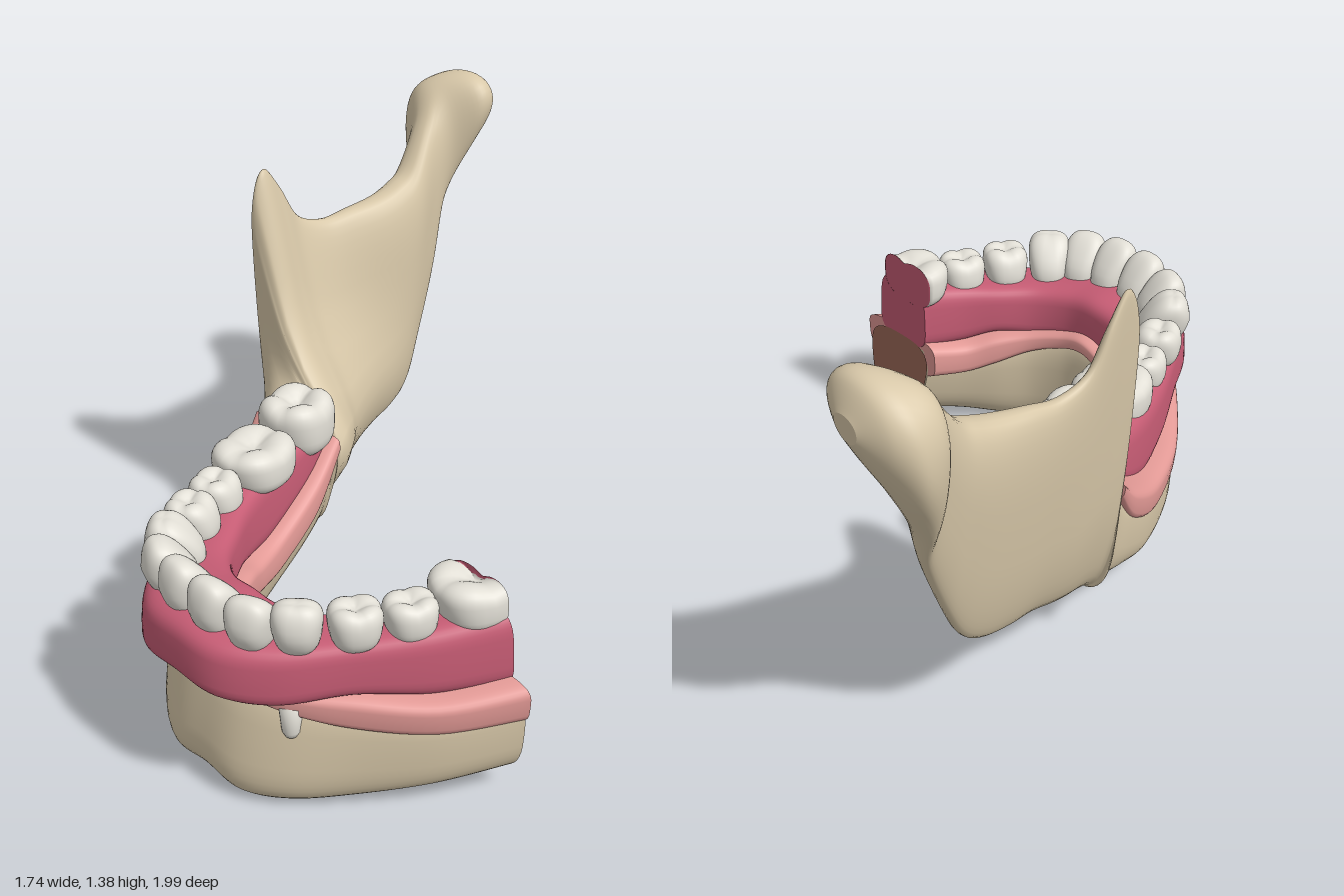
import * as THREE from 'three';
import { mergeVertices } from 'three/addons/utils/BufferGeometryUtils.js';

const MID = 0.19;   // x of the jaw's midline
const CUT = 0.33;   // z of the sectioned end
const SIDES = 40;   // points around each section
const lerp = THREE.MathUtils.lerp;
const spow = (v, p) => Math.sign(v) * Math.abs(v) ** p;

function mat(name, color) {
  const m = new THREE.MeshStandardMaterial({ color });
  m.name = name;
  return m;
}

// Dental arch, midline to back of the right side:
// outer x,z, inner x,z, bone low/high, lining low/high, gum low/high, frontness, gum reach
const ARCH = [
  [0.19, 0.93, 0.19, 0.67, 0.02, 0.41, 0.365, 0.43, 0.38, 0.56, 1, 1.27],
  [0.05, 0.92, 0.10, 0.66, 0.0, 0.40, 0.345, 0.41, 0.365, 0.55, 1, 1.24],
  [-0.08, 0.85, 0.01, 0.61, 0.005, 0.38, 0.31, 0.39, 0.355, 0.54, 0.7, 1.12],
  [-0.21, 0.72, -0.06, 0.52, 0.02, 0.36, 0.265, 0.38, 0.37, 0.54, 0.3, 0.96],
  [-0.36, 0.54, -0.11, 0.44, 0.045, 0.34, 0.24, 0.36, 0.345, 0.55, 0.05, 0.86],
  [-0.48, 0.33, -0.155, 0.33, 0.07, 0.36, 0.245, 0.38, 0.34, 0.57, 0, 0.83],
  [-0.545, 0.17, -0.21, 0.15, 0.125, 0.45, 0.33, 0.46, 0.42, 0.59, 0, 0.78],
  [-0.575, 0.08, -0.27, 0.01, 0.155, 0.57, 0.47, 0.54, 0.50, 0.61, 0, 0.67],
];
const mirrorRow = (r) => [2 * MID - r[0], r[1], 2 * MID - r[2], ...r.slice(3)];
const FULL_ARCH = [...ARCH.slice(1, 6).reverse().map(mirrorRow), ...ARCH];

// Ramus slices: z, low outer x, low inner x, high outer x, high inner x, low y, high y,
// inner swelling, roundness
const RAMUS = [
  [-0.005, -0.61, -0.33, -0.665, -0.52, 0.175, 0.70, 0.12, 0.65],
  [-0.012, -0.615, -0.35, -0.70, -0.65, 0.18, 1.05, 0.15, 0.7],
  [-0.027, -0.62, -0.36, -0.708, -0.665, 0.185, 1.2, 0.16, 0.75],
  [-0.07, -0.63, -0.38, -0.715, -0.67, 0.20, 1.27, 0.16, 0.75],
  [-0.13, -0.64, -0.42, -0.725, -0.67, 0.22, 1.2, 0.14, 0.75],
  [-0.2, -0.645, -0.46, -0.73, -0.66, 0.245, 1.08, 0.1, 0.75],
  [-0.3, -0.65, -0.51, -0.738, -0.64, 0.28, 1.04, 0.07, 0.75],
  [-0.4, -0.66, -0.55, -0.745, -0.61, 0.30, 1.05, 0.05, 0.75],
  [-0.5, -0.665, -0.57, -0.75, -0.58, 0.325, 1.065, 0.03, 0.75],
  [-0.58, -0.67, -0.58, -0.755, -0.57, 0.38, 1.09, 0.01, 0.75],
  [-0.65, -0.685, -0.60, -0.76, -0.58, 0.50, 1.13, 0, 0.75],
  [-0.75, -0.725, -0.63, -0.79, -0.63, 0.72, 1.25, 0, 0.8],
  [-0.82, -0.83, -0.66, -0.88, -0.62, 0.89, 1.34, 0, 0.9],
  [-0.9, -0.89, -0.66, -0.86, -0.53, 1.04, 1.38, 0, 0.95],
  [-0.96, -0.85, -0.65, -0.81, -0.55, 1.15, 1.37, 0, 1],
  [-1.0, -0.75, -0.68, -0.74, -0.65, 1.23, 1.30, 0, 1],
];

// Section frame: low outer x,z, low inner x,z, high outer x,z, high inner x,z,
// low y, high y, inner swelling, roundness
function archFrame(r, lowIn, lowOut, highIn, highOut, y0, y1, round) {
  const at = (w) => [lerp(r[2], r[0], w), lerp(r[3], r[1], w)];
  return [...at(lowOut), ...at(lowIn), ...at(highOut), ...at(highIn), y0, y1, 0, round];
}
const ramusFrame = ([z, a, b, c, d, ...rest]) => [a, z, b, z, c, z, d, z, ...rest];

// Catmull-Rom interpolation of whole frames
function smoothFrames(frames, steps) {
  const out = [], n = frames.length, get = (i) => frames[Math.min(n - 1, Math.max(0, i))];
  for (let i = 0; i < n - 1; i++) {
    for (let s = 0; s < steps; s++) {
      const t = s / steps, [a, b, c, d] = [-1, 0, 1, 2].map((k) => get(i + k));
      out.push(b.map((v, k) => 0.5 * (2 * v + (c[k] - a[k]) * t
        + (2 * a[k] - 5 * v + 4 * c[k] - d[k]) * t * t
        + (3 * v - a[k] - 3 * c[k] + d[k]) * t ** 3)));
    }
  }
  return [...out, frames[n - 1]];
}

// Rounded section ring inside a frame
function ring(f, zShift = 0) {
  return Array.from({ length: SIDES }, (_, j) => {
    const a = (j / SIDES) * Math.PI * 2;
    const w = 0.5 + 0.5 * spow(Math.cos(a), f[11]), v = 0.5 + 0.5 * spow(Math.sin(a), f[11]);
    const y = lerp(f[8], f[9], v);
    const swell = f[10] * (1 - w) * Math.exp(-(((y - 0.47) / 0.19) ** 2));
    const x = lerp(lerp(f[2], f[0], w), lerp(f[6], f[4], w), v) + swell;
    const z = lerp(lerp(f[3], f[1], w), lerp(f[7], f[5], w), v);
    return [x, y, z + zShift];
  });
}

function addCap(pos, idx, r, flip) {
  const base = pos.length / 3, n = r.length;
  r.forEach((q) => pos.push(...q));
  pos.push(...[0, 1, 2].map((k) => r.reduce((s, q) => s + q[k], 0) / n));
  for (let j = 0; j < n; j++) {
    const a = base + j, b = base + (j + 1) % n;
    idx.push(base + n, flip ? b : a, flip ? a : b);
  }
}

function build(pos, idx) {
  const g = new THREE.BufferGeometry();
  g.setAttribute('position', new THREE.Float32BufferAttribute(pos, 3));
  g.setIndex(idx);
  g.computeVertexNormals();
  return g;
}

function loft(frames, endShift = 0) {
  const rings = smoothFrames(frames, 7).map((f, i) => ring(f, i ? 0 : endShift));
  const pos = rings.flat(2), idx = [];
  for (let i = 0; i < rings.length - 1; i++) {
    for (let j = 0; j < SIDES; j++) {
      const a = i * SIDES + j, b = i * SIDES + (j + 1) % SIDES;
      idx.push(a, b, a + SIDES, b, b + SIDES, a + SIDES);
    }
  }
  addCap(pos, idx, rings[0], true);
  addCap(pos, idx, rings[rings.length - 1], false);
  return build(pos, idx);
}

// Teeth, front to back: x, z, outward angle, width, depth, top y, cusps (0 blade, 1 molar)
const TEETH = [
  [0.128, 0.885, 4, 0.138, 0.15, 0.685, 0],
  [0.012, 0.86, 24, 0.138, 0.15, 0.675, 0],
  [-0.075, 0.78, 44, 0.145, 0.16, 0.67, 0.15],
  [-0.157, 0.655, 60, 0.155, 0.155, 0.645, 0.7],
  [-0.222, 0.52, 66, 0.155, 0.15, 0.635, 0.8],
  [-0.275, 0.335, 75, 0.26, 0.23, 0.66, 1],
  [-0.345, 0.11, 72, 0.235, 0.22, 0.70, 1],
];

function tooth([x, z, angle, width, depth, top, molar], side) {
  let g = new THREE.SphereGeometry(1, 32, 24);
  g.deleteAttribute('uv');
  g.deleteAttribute('normal');
  g = mergeVertices(g, 1e-4);
  const p = g.attributes.position, low = 0.5, half = (top - low) / 2;
  for (let i = 0; i < p.count; i++) {
    let a = spow(p.getX(i), 0.8), b = spow(p.getY(i), 0.65), c = spow(p.getZ(i), 0.8);
    const up = Math.max(0, b), r2 = a * a + c * c;
    const groove = Math.exp(-30 * a * a) + Math.exp(-30 * c * c);
    const dent = molar * up * (0.3 * Math.exp(-4 * r2) + 0.12 * groove - 0.2 * Math.abs(a * c));
    a *= 0.92 + 0.12 * b;                                   // narrow neck
    c = c * (1 - (1 - molar) * 0.45 * up) + (1 - molar) * 0.35 * b; // blade edge leaning out
    p.setXYZ(i, a * width / 2, low + half + (b - dent) * half, c * depth / 2);
  }
  g.rotateY(-side * THREE.MathUtils.degToRad(angle));
  g.translate(side > 0 ? x : 2 * MID - x, 0, z);
  if (side < 0) {   // flatten what lies behind the cut and give it the section colour
    const crown = [], section = [], ix = g.index.array, end = CUT - 0.002;
    for (let i = 0; i < p.count; i++) p.setZ(i, Math.max(end, p.getZ(i)));
    for (let t = 0; t < ix.length; t += 3) {
      const tri = [ix[t], ix[t + 1], ix[t + 2]];
      (tri.every((k) => p.getZ(k) < end + 1e-5) ? section : crown).push(...tri);
    }
    g.setIndex([...crown, ...section]);
    g.addGroup(0, crown.length, 0);
    g.addGroup(crown.length, section.length, 1);
  }
  g.computeVertexNormals();
  return g;
}

export function createModel() {
  const model = new THREE.Group();
  const bone = mat('bone', 0xd8c8a9), gum = mat('gum', 0xc65c74), lining = mat('lining', 0xe39a96);
  const enamel = mat('enamel', 0xe2dfd6), marrow = mat('marrow', 0x9c6a58);
  const add = (name, geometry, material) => {
    const m = new THREE.Mesh(geometry, material);
    m.name = name;
    model.add(m);
    return m;
  };

  // Jawbone: body, ramus, coronoid and condyle in one loft
  const boneFrames = [
    ...FULL_ARCH.map((r) => archFrame(r, lerp(0.25, 0.1, r[10]), lerp(0.93, 1.06, r[10]),
      0, lerp(1, 0.76, r[10]), r[4], r[5], 0.65)),
    ...RAMUS.map(ramusFrame),
  ];
  add('jawbone', loft(boneFrames), bone);

  // Exposed marrow on the sectioned end
  const pos = [], idx = [];
  addCap(pos, idx, ring(boneFrames[0], -0.005), true);
  add('sectionFace', build(pos, idx), marrow);

  // Pale lining hugging the ridge, and the gum carrying the teeth
  add('ridgeLining', loft(FULL_ARCH.map((r) => archFrame(r, -0.03, lerp(1.0, 0.9, r[10]),
    -0.02, lerp(1.04, 0.9, r[10]), r[6], r[7], 0.5))), lining);
  add('gumBase', loft(FULL_ARCH.map((r) => archFrame(r, 0.1, r[11],
    0.13, r[11] * 0.95, r[8], r[9], 0.5)), -0.002), gum);

  // Teeth on both sides; the left row ends at the cut
  TEETH.forEach((t, i) => {
    add('rightTooth' + (i + 1), tooth(t, 1), enamel);
    if (i < 6) add('leftTooth' + (i + 1), tooth(t, -1), [enamel, gum]);
  });

  // Pins emerging from the bone under the gum
  for (const side of [-1, 1]) {
    const profile = [[0, 0], [0.018, 0.003], [0.026, 0.02], [0.033, 0.1], [0, 0.1]];
    const pin = add(side < 0 ? 'rightPin' : 'leftPin',
      new THREE.LatheGeometry(profile.map(([x, y]) => new THREE.Vector2(x, y)), 20), enamel);
    pin.position.set(MID + side * 0.263, 0.24, 0.81);
  }
  return model;
}
